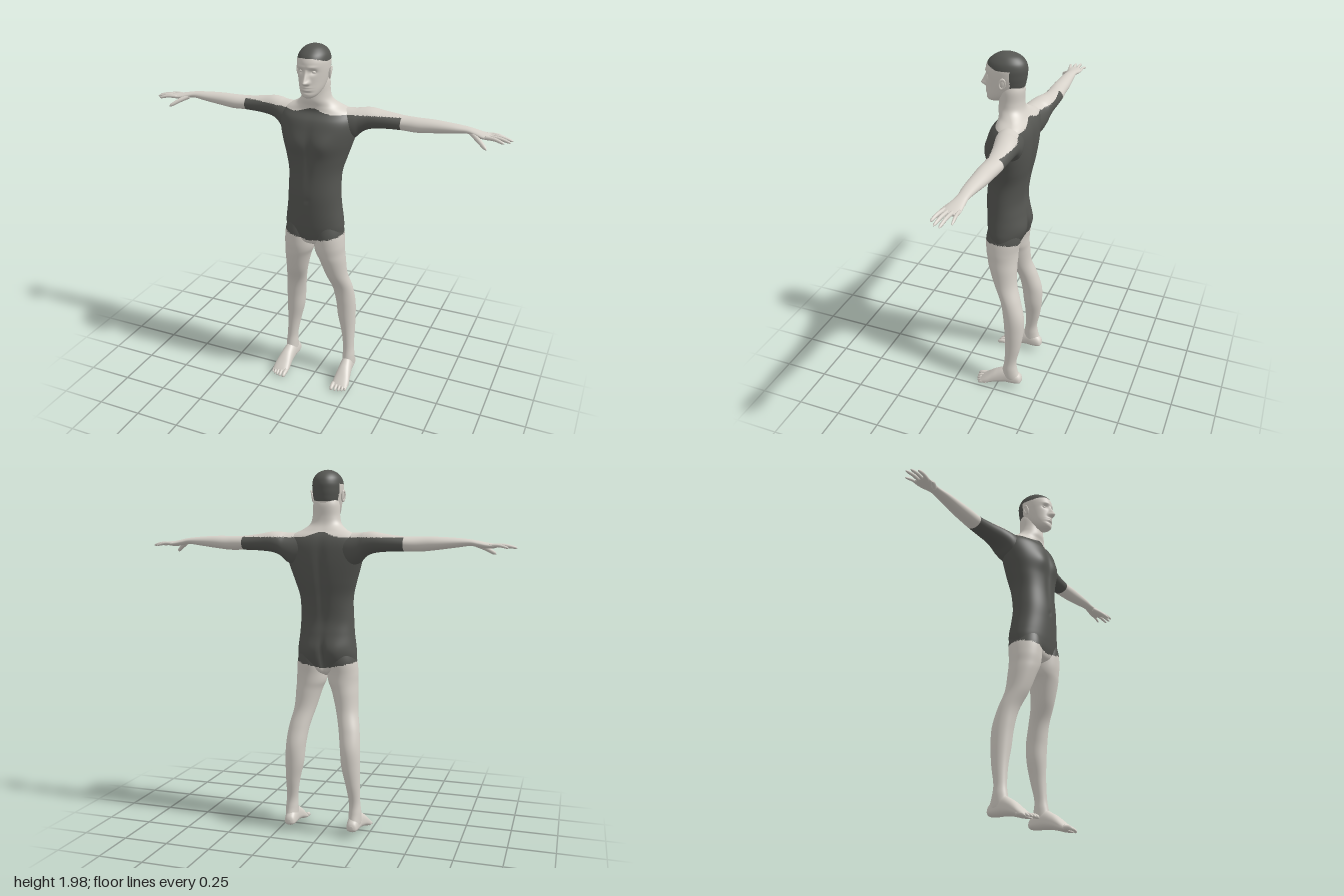
import * as THREE from 'three';

const skin = new THREE.MeshStandardMaterial({ color: 0xd6d1c9 });
skin.name = 'skin';
const dark = new THREE.MeshStandardMaterial({ color: 0x555652 });
dark.name = 'dark cloth and hair';

const bump = (d, s) => Math.exp(-(d * d) / (s * s));

// Catmull-Rom interpolation of a short table of cross-sections
function refine(rows, steps) {
  const out = [];
  const at = i => rows[Math.min(Math.max(i, 0), rows.length - 1)];
  for (let i = 0; i < rows.length - 1; i++) {
    for (let k = 0; k < steps; k++) {
      const t = k / steps, [a, b, c, d] = [at(i - 1), at(i), at(i + 1), at(i + 2)];
      out.push(b.map((_, j) => 0.5 * (2 * b[j] + (c[j] - a[j]) * t +
        (2 * a[j] - 5 * b[j] + 4 * c[j] - d[j]) * t * t +
        (3 * b[j] - a[j] - 3 * c[j] + d[j]) * t * t * t)));
    }
  }
  out.push(rows[rows.length - 1]);
  return out;
}

// Skins closed rings of points; isDark picks the material of each face
function loft(name, rings, isDark = () => false) {
  const n = rings[0].length, pts = rings.flat(), tris = [];
  for (let r = 0; r < rings.length - 1; r++) {
    for (let i = 0; i < n; i++) {
      const a = r * n + i, b = r * n + (i + 1) % n;
      tris.push([a, a + n, b], [b, a + n, b + n]);
    }
  }
  [0, rings.length - 1].forEach((r, end) => {
    const mid = rings[r].reduce((s, p) => s.add(p), new THREE.Vector3()).divideScalar(n);
    const c = pts.push(mid) - 1;
    for (let i = 0; i < n; i++) {
      const a = r * n + i, b = r * n + (i + 1) % n;
      tris.push(end ? [a, c, b] : [a, b, c]);
    }
  });
  // turn faces outward whatever the ring direction
  let volume = 0;
  const cross = new THREE.Vector3(), mid = new THREE.Vector3();
  for (const [a, b, c] of tris) volume += pts[a].dot(cross.crossVectors(pts[b], pts[c]));
  if (volume < 0) tris.forEach(t => t.reverse());
  const lists = [[], []];
  for (const t of tris) {
    mid.set(0, 0, 0);
    t.forEach(i => mid.addScaledVector(pts[i], 1 / 3));
    lists[isDark(mid) ? 1 : 0].push(...t);
  }
  const g = new THREE.BufferGeometry().setFromPoints(pts);
  g.setIndex([...lists[0], ...lists[1]]);
  g.addGroup(0, lists[0].length, 0);
  g.addGroup(lists[0].length, lists[1].length, 1);
  g.computeVertexNormals();
  const mesh = new THREE.Mesh(g, lists[1].length ? [skin, dark] : skin);
  mesh.name = name;
  return mesh;
}

// One ring; put(cos, sin) places each point
const ring = (n, put) => Array.from({ length: n }, (_, i) =>
  put(Math.cos(i / n * Math.PI * 2), Math.sin(i / n * Math.PI * 2)));
const split = (s, mid, hi, lo) => mid + s * (s > 0 ? hi - mid : mid - lo);

// Tapered round-tipped finger or toe
function digit(name, points, radius) {
  const curve = new THREE.CatmullRomCurve3(points.map(p => new THREE.Vector3(...p)));
  const N = 16, f = curve.computeFrenetFrames(N);
  const rings = f.normals.map((nrm, i) => {
    const t = i / N, r = radius * (1 - 0.25 * t) * Math.sqrt(Math.max(0.01, 1 - Math.pow(t, 10)));
    return ring(12, (c, s) => curve.getPointAt(t).addScaledVector(nrm, r * c).addScaledVector(f.binormals[i], r * s));
  });
  return loft(name, rings);
}

// Body suit covers below the neckline, inside the sleeves, above the leg line
const suit = p => {
  const x = Math.abs(p.x);
  return x < 0.44 && p.y < 1.632 + 0.028 * bump(x, 0.06) && p.y > 0.93 + 0.22 * x;
};

function makeTorso() {
  // y, half width, front z, back z, z of the widest point
  const rows = [
    [0.885, 0.03, 0.03, -0.03, 0], [0.91, 0.1, 0.075, -0.07, 0], [0.95, 0.155, 0.092, -0.09, 0],
    [1.0, 0.165, 0.1, -0.108, 0], [1.05, 0.161, 0.104, -0.116, 0], [1.12, 0.152, 0.107, -0.106, 0],
    [1.2, 0.147, 0.108, -0.097, 0], [1.31, 0.147, 0.1, -0.112, -0.01], [1.4, 0.17, 0.1, -0.13, -0.03],
    [1.48, 0.195, 0.104, -0.14, -0.045], [1.55, 0.213, 0.092, -0.142, -0.06], [1.6, 0.212, 0.075, -0.138, -0.07],
    [1.637, 0.19, 0.045, -0.125, -0.075], [1.668, 0.125, 0.042, -0.102, -0.06], [1.7, 0.086, 0.048, -0.085, -0.03],
    [1.74, 0.074, 0.045, -0.08, -0.02], [1.8, 0.071, 0.045, -0.082, -0.02], [1.84, 0.06, 0.03, -0.07, -0.02]];
  return loft('torsoAndNeck', refine(rows, 7).map(([y, w, zf, zb, zc]) => ring(96, (c, s) => {
    const x = w * Math.sign(c) * Math.pow(Math.abs(c), 0.9);
    let z = split(s, zc, zf, zb);
    if (s > 0) { // chest muscles and navel
      z += s * (0.012 * bump(Math.abs(x) - 0.075, 0.055) * bump(y - 1.48, 0.06)
        - 0.006 * bump(x, 0.02) * bump(y - 1.42, 0.14) - 0.005 * bump(x, 0.01) * bump(y - 1.17, 0.012));
    } else { // spine groove and seat
      z -= s * (0.013 * bump(x, 0.025) * bump(y - 1.38, 0.2) + 0.03 * bump(x, 0.014) * bump(y - 0.98, 0.08));
      z += s * 0.01 * bump(Math.abs(x) - 0.075, 0.05) * bump(y - 1.01, 0.06);
    }
    return new THREE.Vector3(x, y, z);
  })), suit);
}

function makeHead() {
  const head = new THREE.Group();
  head.name = 'head';
  // y, half width, front z, back z
  const rows = [
    [1.727, 0.018, 0.1, 0.06], [1.735, 0.034, 0.112, 0.03], [1.75, 0.048, 0.116, 0], [1.775, 0.061, 0.116, -0.045],
    [1.81, 0.071, 0.115, -0.08], [1.85, 0.078, 0.115, -0.091], [1.88, 0.081, 0.117, -0.095],
    [1.91, 0.081, 0.115, -0.096], [1.94, 0.073, 0.1, -0.086], [1.965, 0.052, 0.07, -0.06],
    [1.978, 0.028, 0.042, -0.025], [1.983, 0.005, 0.015, 0.005]];
  const hair = p => p.y > (p.z < -0.03 ? 1.82 : 1.908 + 0.018 * THREE.MathUtils.clamp((p.z - 0.04) / 0.06, 0, 1));
  head.add(loft('skullAndFace', refine(rows, 9).map(([y, w, zf, zb]) => ring(112, (c, s) => {
    const x = w * c, ax = Math.abs(x);
    let z = split(s, (zf + zb) / 2, zf, zb);
    if (s > 0) { // nose, eye sockets, brow, lips, chin
      const t = THREE.MathUtils.clamp((1.875 - y) / 0.065, 0, 1);
      z += 0.034 * t * bump(x, 0.008 + 0.006 * t) * (y < 1.81 ? bump(y - 1.81, 0.01) : 1)
        + 0.01 * bump(ax - 0.014, 0.007) * bump(y - 1.811, 0.01)
        - 0.012 * bump(ax - 0.032, 0.017) * bump(y - 1.862, 0.013)
        + 0.004 * bump(ax - 0.03, 0.025) * bump(y - 1.886, 0.008)
        + 0.008 * bump(x, 0.024) * bump(y - 1.779, 0.013)
        - 0.006 * bump(x, 0.024) * bump(y - 1.779, 0.003)
        - 0.004 * bump(x, 0.03) * bump(y - 1.76, 0.006);
    }
    return new THREE.Vector3(x, y, z);
  })), hair));
  for (const side of [1, -1]) {
    const eye = new THREE.Mesh(new THREE.SphereGeometry(0.012, 20, 14), skin);
    eye.name = 'eye';
    eye.scale.set(1.1, 0.6, 0.7);
    eye.position.set(side * 0.032, 1.861, 0.092);
    const ear = new THREE.Group();
    ear.name = 'ear';
    const bowl = new THREE.Mesh(new THREE.SphereGeometry(1, 20, 14), skin);
    bowl.scale.set(0.007, 0.027, 0.014);
    const rim = new THREE.Mesh(new THREE.TorusGeometry(0.014, 0.0045, 10, 28), skin);
    rim.rotation.y = Math.PI / 2;
    rim.scale.y = 1.8;
    rim.position.x = side * 0.004;
    ear.add(bowl, rim);
    ear.position.set(side * 0.083, 1.847, 0.004);
    ear.rotation.set(-0.15, side * 0.3, -side * 0.12);
    head.add(eye, ear);
  }
  return head;
}

function makeArm(side) {
  const arm = new THREE.Group();
  arm.name = side > 0 ? 'leftArm' : 'rightArm';
  // x, top y, bottom y, front z, back z
  const rows = [
    [0.08, 1.655, 1.5, 0.02, -0.12], [0.15, 1.655, 1.48, 0.015, -0.135], [0.2, 1.656, 1.5, 0.005, -0.143],
    [0.235, 1.66, 1.533, -0.01, -0.148], [0.28, 1.661, 1.552, -0.026, -0.15], [0.35, 1.649, 1.56, -0.04, -0.149],
    [0.44, 1.638, 1.563, -0.048, -0.145], [0.52, 1.637, 1.562, -0.046, -0.137], [0.6, 1.637, 1.57, -0.05, -0.134],
    [0.7, 1.632, 1.583, -0.055, -0.124], [0.77, 1.625, 1.592, -0.062, -0.118], [0.81, 1.618, 1.586, -0.054, -0.119],
    [0.85, 1.61, 1.58, -0.042, -0.122], [0.885, 1.604, 1.581, -0.04, -0.123], [0.903, 1.599, 1.586, -0.046, -0.116]];
  arm.add(loft('armAndPalm', refine(rows, 8).map(([x, yt, yb, zf, zb]) => ring(56, (c, s) =>
    new THREE.Vector3(side * x, split(s, (yt + yb) / 2, yt, yb), split(c, (zf + zb) / 2, zf, zb)))), suit));
  // base x, base z, tip x, tip z
  [[0.87, -0.051, 0.968, -0.028], [0.875, -0.071, 0.994, -0.054],
    [0.875, -0.092, 1.0, -0.082], [0.865, -0.113, 0.961, -0.122]].forEach(([x, z, tx, tz], i) =>
    arm.add(digit('finger', [[side * x, 1.594, z], [side * (x + tx) / 2, 1.595, (z + tz) / 2],
      [side * tx, 1.583, tz]], i === 3 ? 0.0085 : 0.0102)));
  arm.add(digit('thumb', [[side * 0.8, 1.6, -0.072], [side * 0.845, 1.578, -0.036], [side * 0.89, 1.55, -0.003]], 0.0135));
  return arm;
}

function makeLeg(side) {
  const leg = new THREE.Group();
  leg.name = side > 0 ? 'leftLeg' : 'rightLeg';
  // y, centre x, half width, front z, back z
  const rows = [
    [1.04, 0.078, 0.068, 0.08, -0.09], [0.97, 0.083, 0.082, 0.094, -0.096], [0.9, 0.087, 0.085, 0.093, -0.087],
    [0.85, 0.091, 0.082, 0.086, -0.085], [0.8, 0.103, 0.073, 0.074, -0.085], [0.7, 0.12, 0.061, 0.04, -0.091],
    [0.6, 0.1425, 0.0575, -0.008, -0.12], [0.5, 0.155, 0.055, -0.028, -0.146], [0.4, 0.161, 0.051, -0.038, -0.147],
    [0.3, 0.172, 0.039, -0.045, -0.135], [0.2, 0.18, 0.031, -0.044, -0.115], [0.14, 0.183, 0.034, -0.035, -0.12],
    [0.09, 0.183, 0.034, -0.025, -0.135], [0.065, 0.182, 0.03, -0.035, -0.14]];
  leg.add(loft('leg', refine(rows, 8).map(([y, cx, w, zf, zb]) => ring(64, (c, s) =>
    new THREE.Vector3(side * (cx + w * c), y, split(s, (zf + zb) / 2, zf, zb)))), suit));
  // z, centre x, half width, top y, sole y
  const foot = [
    [-0.148, 0.179, 0.01, 0.078, 0.058], [-0.137, 0.179, 0.027, 0.1, 0.045], [-0.1, 0.18, 0.034, 0.13, 0.038],
    [-0.05, 0.183, 0.035, 0.138, 0.036], [0, 0.187, 0.04, 0.113, 0.029], [0.03, 0.189, 0.044, 0.092, 0.021],
    [0.06, 0.191, 0.048, 0.066, 0.012], [0.085, 0.191, 0.047, 0.044, 0.008], [0.1, 0.19, 0.043, 0.03, 0.01]];
  leg.add(loft('foot', refine(foot, 6).map(([z, cx, w, yt, yb]) => ring(40, (c, s) =>
    new THREE.Vector3(side * (cx + w * c), split(Math.sign(s) * Math.pow(Math.abs(s), 0.85), yb * 0.65 + yt * 0.35, yt, yb), z)))));
  // toes, big toe innermost
  [[0.154, 0.132, 0.0135], [0.177, 0.131, 0.0105], [0.197, 0.126, 0.01], [0.215, 0.118, 0.0095], [0.231, 0.107, 0.009]]
    .forEach(([x, z, r]) => leg.add(digit('toe',
      [[side * x, 0.027, z - 0.05], [side * x, 0.023, z - 0.022], [side * x, 0.011, z]], r)));
  return leg;
}

export function createModel() {
  const model = new THREE.Group();
  model.name = 'standingFigure';
  model.add(makeTorso(), makeHead());
  for (const side of [1, -1]) model.add(makeArm(side), makeLeg(side));
  return model;
}
